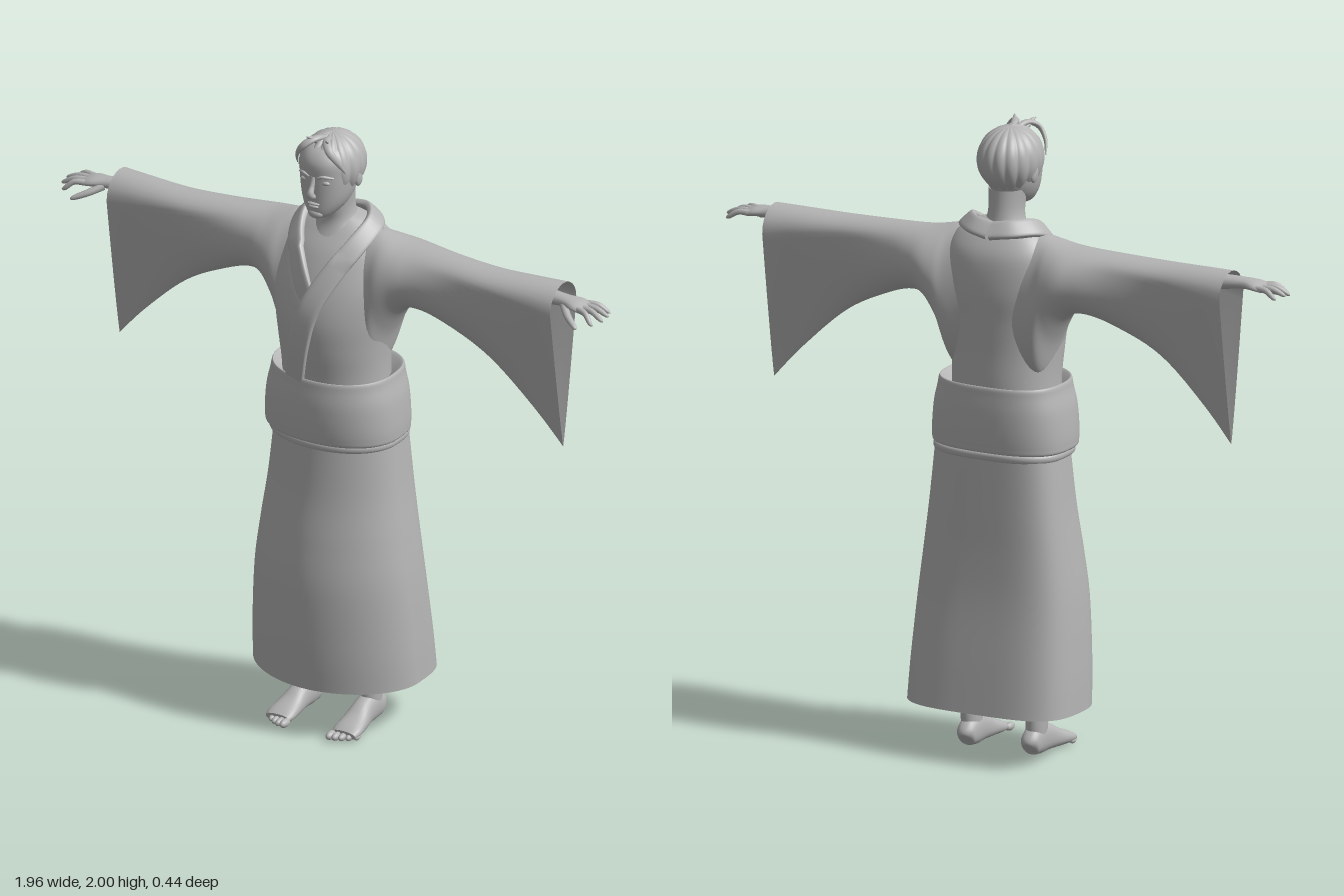
import * as THREE from 'three';

const clothGrey = new THREE.MeshStandardMaterial({ color: 0xb4b4b4, side: THREE.DoubleSide });
clothGrey.name = 'plain grey';

const V = (x, y, z) => new THREE.Vector3(x, y, z);
const spow = (v, e) => Math.sign(v) * Math.abs(v) ** e;
const range = (n, f) => Array.from({ length: n }, (_, i) => f(i));

function add(parent, name, geometry) {
  const mesh = new THREE.Mesh(geometry, clothGrey);
  mesh.name = name;
  parent.add(mesh);
  return mesh;
}

// Catmull-Rom subdivision of rows of numbers
function smooth(rows, steps = 6) {
  const out = [];
  const at = i => rows[Math.max(0, Math.min(rows.length - 1, i))];
  for (let i = 0; i < rows.length - 1; i++) {
    for (let s = 0; s < steps; s++) {
      const t = s / steps;
      out.push(rows[i].map((b, k) => {
        const a = at(i - 1)[k], c = at(i + 1)[k], d = at(i + 2)[k];
        return b + 0.5 * t * (c - a + t * (2 * a - 5 * b + 4 * c - d + t * (3 * (b - c) + d - a)));
      }));
    }
  }
  out.push(rows[rows.length - 1]);
  return out;
}

// Skin closed rings of points, with optional flat ends
function loft(rings, capped = false) {
  if (capped) {
    const centre = r => {
      const c = r.reduce((s, p) => s.add(p), V(0, 0, 0)).divideScalar(r.length);
      return r.map(() => c);
    };
    const a = rings[0], b = rings[rings.length - 1];
    rings = [centre(a), a, ...rings, b, centre(b)];
  }
  const n = rings[0].length, index = [];
  for (let i = 0; i < rings.length - 1; i++) {
    for (let j = 0; j < n; j++) {
      const a = i * n + j, b = i * n + (j + 1) % n;
      index.push(a, b, b + n, a, b + n, a + n);
    }
  }
  const g = new THREE.BufferGeometry().setFromPoints(rings.flat());
  g.setIndex(index);
  g.computeVertexNormals();
  return g;
}

// Upright loft; rows are [y, half width, front z, back z, centre x]
function upright(rows, pf = 2, pb = 2, { n = 56, steps = 6, capped = false } = {}) {
  return loft(smooth(rows, steps).map(([y, w, zf, zb, cx = 0]) => range(n, j => {
    const a = j / n * Math.PI * 2, e = 2 / (Math.cos(a) > 0 ? pf : pb);
    return V(cx + w * spow(Math.sin(a), e), y, (zf + zb) / 2 + (zf - zb) / 2 * spow(Math.cos(a), e));
  })), capped);
}

// Swept strip or limb; rows are [x, y, z, half width, half thickness]
function sweep(rows, outward, { n = 14, p = 2, steps = 6 } = {}) {
  const r = smooth(rows, steps), pts = r.map(q => V(q[0], q[1], q[2]));
  return loft(r.map((q, i) => {
    const t = pts[Math.min(i + 1, r.length - 1)].clone().sub(pts[Math.max(i - 1, 0)]).normalize();
    const side = t.clone().cross(outward(pts[i])).normalize(), out = side.clone().cross(t);
    return range(n, j => {
      const a = j / n * Math.PI * 2;
      return pts[i].clone().addScaledVector(out, q[4] * spow(Math.cos(a), 2 / p))
        .addScaledVector(side, q[3] * spow(Math.sin(a), 2 / p));
    });
  }), true);
}

function ball(parent, name, x, y, z, sx, sy, sz) {
  const m = add(parent, name, new THREE.SphereGeometry(1, 20, 14));
  m.position.set(x, y, z);
  m.scale.set(sx, sy, sz);
  return m;
}

const TORSO = [[1.08, .172, .155, -.135], [1.2, .17, .17, -.138], [1.3, .176, .186, -.138], [1.4, .188, .19, -.142],
  [1.5, .2, .167, -.148], [1.6, .187, .12, -.138], [1.66, .15, .075, -.108], [1.695, .095, .045, -.075], [1.71, .05, .035, -.05]];

// Depth of the chest surface at x, y
function chestZ(x, y) {
  const i = Math.max(0, TORSO.findIndex(r => r[0] > y) - 1), a = TORSO[i], b = TORSO[i + 1];
  const [, w, zf, zb] = a.map((v, k) => v + (b[k] - v) * (y - a[0]) / (b[0] - a[0]));
  return (zf + zb) / 2 + (zf - zb) / 2 * Math.sqrt(Math.max(0, 1 - (x / w) ** 2));
}

// Rows: [x, top y, bottom y, front z, back z, drape]
function sleeveGeometry() {
  const rows = [[0, 1.66, 1.27, .09, -.125, 0], [.09, 1.675, 1.22, .1, -.13, 0], [.15, 1.672, 1.22, .11, -.138, 0],
    [.19, 1.664, 1.34, .11, -.142, 0], [.24, 1.655, 1.425, .098, -.14, 0], [.3, 1.65, 1.442, .085, -.125, .05],
    [.4, 1.645, 1.412, .076, -.1, .25], [.55, 1.64, 1.335, .07, -.08, .65], [.7, 1.643, 1.2, .062, -.085, .95],
    [.8, 1.645, 1.09, .06, -.097, 1]];
  return loft(smooth(rows, 6).map(([x, yT, yB, zf, zb, drape]) => range(48, j => {
    const a = j / 48 * Math.PI * 2, v = (1 - Math.cos(a)) / 2;
    const tear = v < .14 ? Math.sqrt(1 - (1 - v / .14) ** 2) : ((1 - v) / .86) ** .9;
    const w = Math.abs(Math.sin(a)) * (1 - drape) + tear * drape;
    return V(x, yT + (yB - yT) * v, (zf + zb) / 2 + (zf - zb) / 2 * w * Math.sign(Math.sin(a)));
  })));
}

// Hair cap with ridged locks, short over the brow and long at the nape
function hairGeometry() {
  const step = THREE.MathUtils.smoothstep, n = 144;
  return loft(range(25, i => range(n, j => {
    const a = j / n * Math.PI * 2, b = Math.min(a, Math.PI * 2 - a), v = 1 - i / 24;
    const lock = Math.abs(Math.sin(a * 8));
    const th = v * (.88 + step(b, .6, 1.1) * 1.12 + step(b, 1.6, 2.5) * .38 + lock * .15);
    const r = .96 + .05 * lock * Math.min(1, v * 2);
    return V(.1 * r * Math.sin(th) * Math.sin(a), 1.887 + .106 * r * Math.cos(th), .032 + .116 * r * Math.sin(th) * Math.cos(a));
  })));
}

function buildRobe(g) {
  add(g, 'skirt', upright([[.165, .285, .212, -.22], [.3, .28, .22, -.203], [.5, .266, .22, -.177], [.65, .248, .203, -.165],
    [.8, .228, .18, -.158], [.97, .21, .165, -.15], [1.05, .2, .16, -.145]], 1.9, 3.6, { n: 80 }));
  add(g, 'robeBody', upright(TORSO, 2, 2.3));
  add(g, 'underSash', upright([[.962, .195, .15, -.14], [.966, .217, .172, -.156], [.985, .219, .175, -.158], [1.0, .2, .16, -.14]], 2.1, 3));
  add(g, 'sash', upright([[.984, .19, .15, -.13], [.988, .224, .177, -.155], [1.01, .229, .184, -.16], [1.06, .227, .188, -.163],
    [1.12, .22, .188, -.163], [1.17, .208, .183, -.16], [1.195, .203, .18, -.158], [1.197, .195, .173, -.15], [1.17, .165, .15, -.125]], 2.2, 2.8));

  // crossed collar bands, wearer's left on top
  const outward = p => V(p.x * .6, p.y > 1.6 ? .07 : .01, p.z + .02).normalize();
  const onChest = (x, y, lift) => [x, y, chestZ(x, y) + lift];
  const neckline = [[0, 1.685, -.1, .03, .012], [.07, 1.695, -.085, .03, .012], [.122, 1.688, -.015, .032, .013],
    [...onChest(.108, 1.64, .008), .032, .012]];
  add(g, 'overCollar', sweep([...neckline, [...onChest(.06, 1.555, .008), .034, .012], [...onChest(.005, 1.44, .008), .036, .012],
    [...onChest(-.03, 1.31, .006), .036, .011], [...onChest(-.062, 1.17, .004), .036, .01]], outward, { p: 4, n: 24 }));
  const under = neckline.map(([x, ...rest]) => [-x, ...rest]);
  add(g, 'underCollar', sweep([...under, [...onChest(-.055, 1.55, .004), .032, .011], [...onChest(.0, 1.45, -.004), .03, .008]],
    outward, { p: 4, n: 24 }));
}

function buildArm(g) {
  add(g, 'sleeve', sleeveGeometry());
  const up = () => V(0, 1, 0);
  add(g, 'forearm', sweep([[.35, 1.58, -.015, .045, .045], [.6, 1.59, -.01, .038, .036], [.78, 1.603, .005, .028, .022],
    [.83, 1.605, .01, .028, .018], [.87, 1.603, .012, .04, .016], [.9, 1.597, .012, .04, .012], [.91, 1.595, .012, .034, .008]], up));
  // four fingers, root z to tip
  const tips = [[.04, .957, 1.572, .065], [.022, .976, 1.578, .035], [.002, .977, 1.582, .004], [-.016, .962, 1.578, -.03]];
  for (const [z, x, y, zt] of tips) {
    add(g, 'finger', sweep([[.885, 1.6, z, .01, .01], [(.885 + x) / 2, 1.6, (z + zt) / 2, .0095, .0095],
      [x - .01, y + .005, zt, .007, .007], [x, y, zt, .002, .002]], up, { n: 10, steps: 4 }));
  }
  add(g, 'thumb', sweep([[.83, 1.597, .028, .012, .012], [.865, 1.58, .062, .012, .011], [.9, 1.565, .085, .009, .008],
    [.912, 1.56, .092, .003, .003]], up, { n: 10, steps: 4 }));
}

function buildLeg(g) {
  add(g, 'leg', upright([[.05, .03, .03, -.05, .113], [.1, .032, .036, -.052, .114], [.17, .034, .036, -.053, .115],
    [.35, .05, .05, -.075, .112], [.55, .055, .065, -.055, .108], [.9, .08, .09, -.08, .1]], 2, 2, { n: 24 }));
  add(g, 'foot', sweep([[.112, .03, -.062, .012, .018], [.112, .038, -.05, .03, .036], [.112, .05, -.01, .034, .05],
    [.114, .045, .04, .035, .044], [.117, .032, .09, .042, .031], [.119, .022, .14, .047, .021], [.119, .017, .165, .042, .014]],
  () => V(0, 1, 0), { n: 24, p: 2.3 }));
  range(5, i => ball(g, 'toe', .083 + i * .0185, .014 - i * .0008, .181 - i * i * .0022, .0125 - i * .0009, .0135 - i * .001, .024 - i * .002));
}

function buildHead(g) {
  add(g, 'neck', upright([[1.6, .11, .112, -.09], [1.66, .085, .078, -.075], [1.7, .062, .066, -.062], [1.74, .055, .072, -.055],
    [1.8, .06, .085, -.05]], 2, 2, { n: 32 }));
  add(g, 'face', upright([[1.733, .02, .128, .08], [1.742, .038, .14, .04], [1.76, .055, .146, .0], [1.785, .07, .148, -.025],
    [1.82, .081, .149, -.045], [1.87, .087, .15, -.06], [1.92, .085, .149, -.06], [1.955, .065, .125, -.045], [1.975, .03, .08, 0]], 2.2, 2,
  { n: 40, capped: true }));
  const front = () => V(0, 0, 1);
  add(g, 'nose', sweep([[0, 1.878, .147, .008, .006], [0, 1.85, .156, .008, .009], [0, 1.828, .166, .012, .012],
    [0, 1.817, .16, .016, .01], [0, 1.812, .148, .01, .004]], front));
  ball(g, 'upperLip', 0, 1.788, .147, .022, .005, .009);
  ball(g, 'lowerLip', 0, 1.778, .146, .018, .006, .009);
  ball(g, 'chin', 0, 1.75, .134, .026, .016, .016);
  for (const s of [-1, 1]) {
    ball(g, 'eye', s * .035, 1.861, .137, .017, .008, .009);
    add(g, 'brow', sweep([[s * .014, 1.877, .148, .004, .004], [s * .036, 1.884, .145, .005, .006], [s * .06, 1.878, .127, .003, .004]], front));
    ball(g, 'ear', s * .087, 1.85, .025, .01, .03, .02).rotation.x = .2;
    // strands curling over the brow
    add(g, 'forelock', sweep([[s * .008, 1.978, .06, .01, .008], [s * .022, 1.986, .105, .013, .009], [s * .048, 1.967, .132, .013, .008],
      [s * .074, 1.93, .122, .009, .006], [s * .087, 1.89, .098, .002, .002]], p => V(p.x, p.y - 1.88, p.z - .03).normalize()));
    add(g, 'tuft', sweep([[s * .02, 1.97, .09, .01, .008], [s * .03, 1.99, .115, .007, .006], [s * .038, 1.998, .128, .001, .001]], front));
  }
  add(g, 'hair', hairGeometry());
}

export function createModel() {
  const model = new THREE.Group();
  model.name = 'robedFigure';
  const part = (name, build, mirror = 1) => {
    const g = new THREE.Group();
    g.name = name;
    g.scale.x = mirror;
    build(g);
    model.add(g);
  };
  part('robe', buildRobe);
  part('head', buildHead);
  for (const [side, m] of [['left', 1], ['right', -1]]) {
    part(side + 'Arm', buildArm, m);
    part(side + 'Leg', buildLeg, m);
  }
  return model;
}
